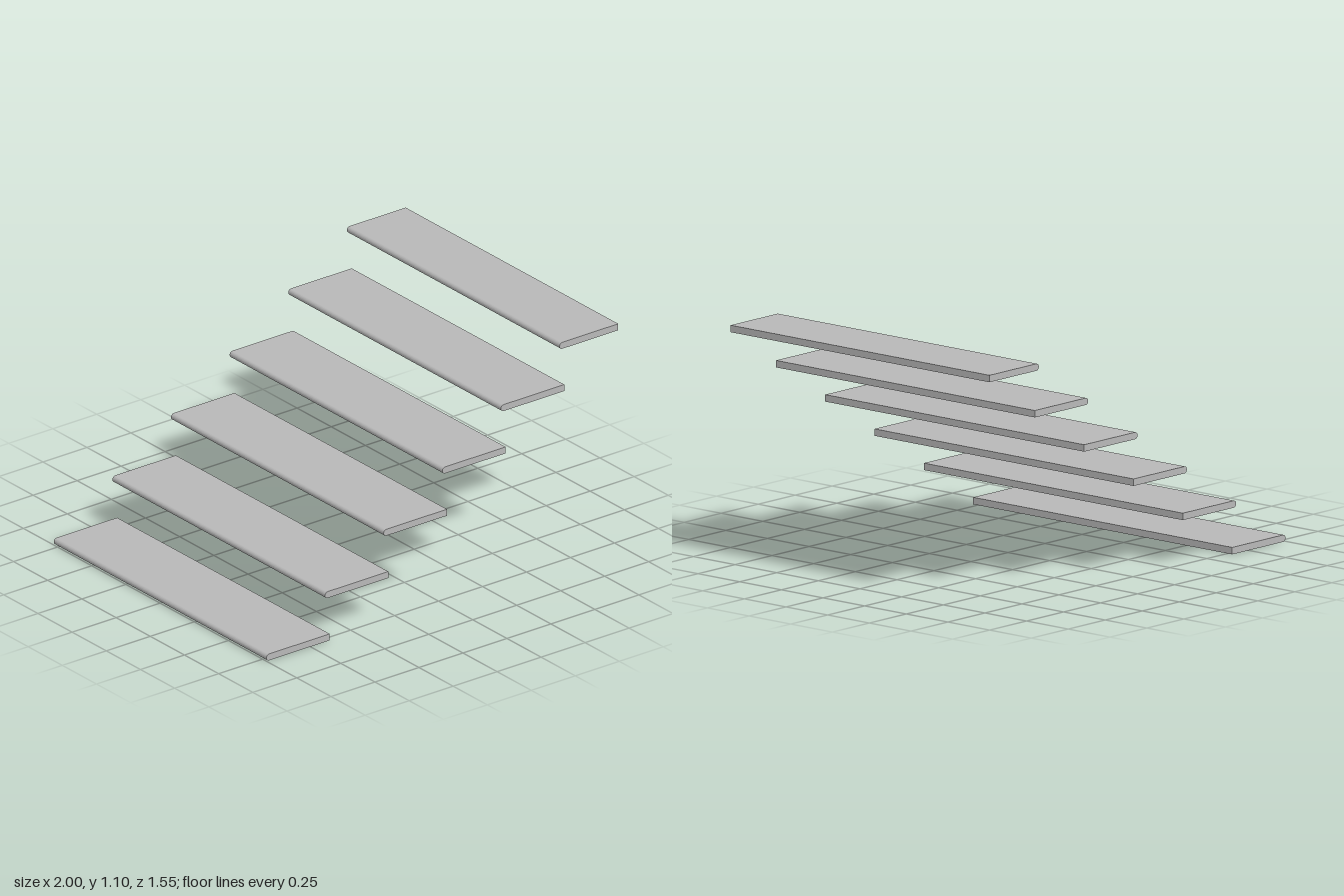
import * as THREE from 'three';

const COUNT = 6, GOING = 1 / 3, RISE = 0.213, THICK = 0.032, DEPTH = 1.555, WIDTH = 0.36;

// Tread section: square at the back edge, half-round nosing at -x
function treadGeometry(width) {
  const r = THICK / 2;
  const s = new THREE.Shape();
  s.moveTo(r, 0);
  s.lineTo(width, 0);
  s.lineTo(width, THICK);
  s.lineTo(r, THICK);
  s.absarc(r, r, r, Math.PI / 2, Math.PI * 1.5, false);
  const geo = new THREE.ExtrudeGeometry(s, { depth: DEPTH, bevelEnabled: false, curveSegments: 8 });
  geo.translate(0, 0, -DEPTH / 2);
  return geo;
}

export function createModel() {
  const group = new THREE.Group();
  group.name = 'floatingStaircase';
  const grey = new THREE.MeshStandardMaterial({ color: 0xb8b8b8 });
  grey.name = 'light grey';

  // Equal treads, with the top one ending flush at the landing
  const full = treadGeometry(WIDTH);
  const top = treadGeometry(GOING);
  for (let i = 0; i < COUNT; i++) {
    const tread = new THREE.Mesh(i === COUNT - 1 ? top : full, grey);
    tread.name = `tread${i + 1}`;
    tread.position.set(-1 + i * GOING, i * RISE, 0);
    group.add(tread);
  }
  return group;
}
